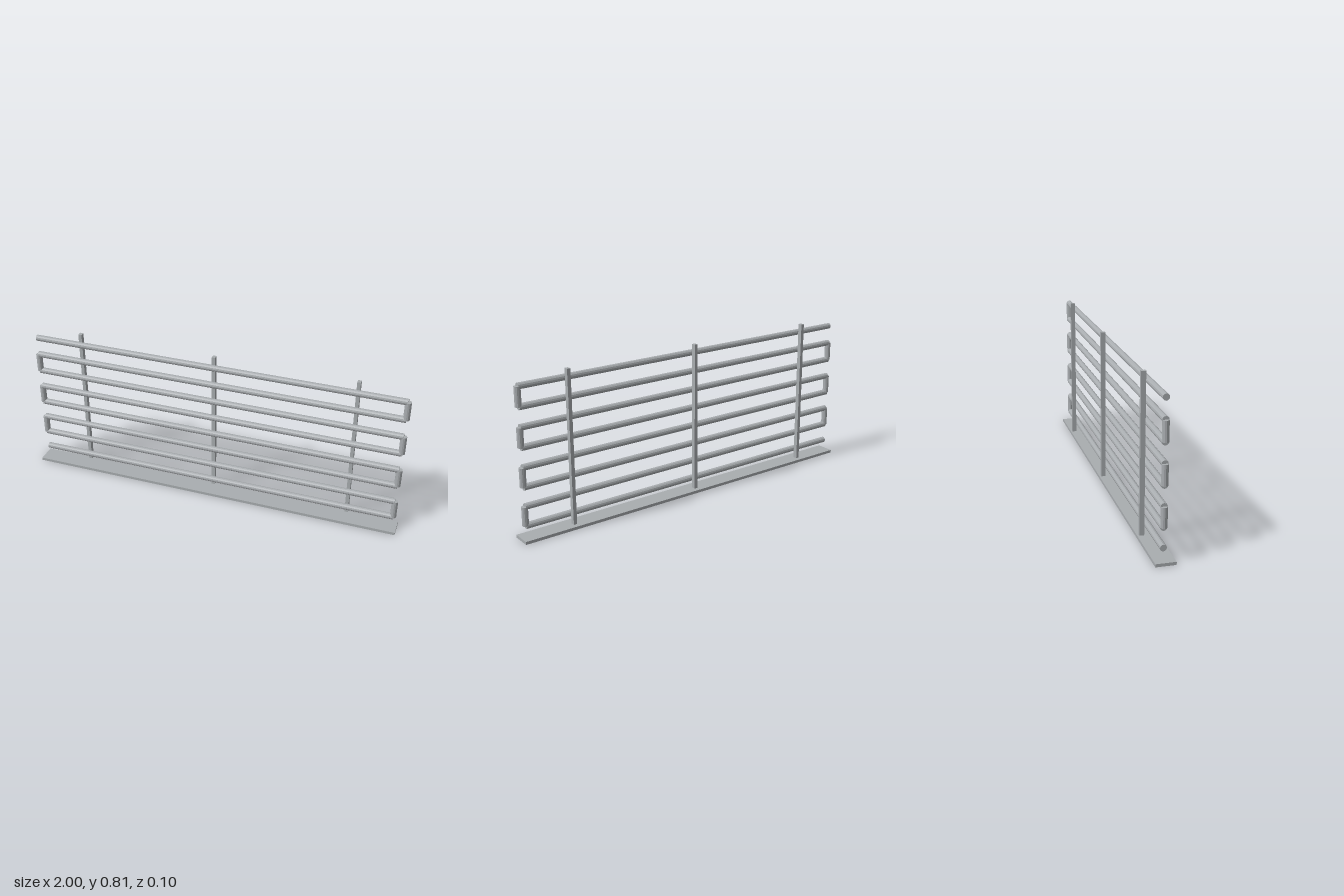
import * as THREE from 'three';

export function createModel() {
  const model = new THREE.Group();
  const steel = new THREE.MeshStandardMaterial({ color: 0xa9adb0, flatShading: true });
  steel.name = 'grey steel';

  function add(name, geometry, x, y, z) {
    const mesh = new THREE.Mesh(geometry, steel);
    mesh.name = name;
    mesh.position.set(x, y, z);
    model.add(mesh);
  }

  // Base strip
  add('base', new THREE.BoxGeometry(2, 0.015, 0.097), 0, 0.0075, 0);

  // Square posts behind the pipes
  for (const x of [-0.732, 0, 0.732]) {
    add('post', new THREE.BoxGeometry(0.018, 0.779, 0.023), x, 0.4175, -0.0345);
  }

  // Serpentine pipe: eight runs joined by uprights on alternating ends
  const runs = 8, bottom = 0.075, pitch = 0.0976, radius = 0.016;
  const endX = 0.975, pipeZ = -0.005;
  const runGeometry = new THREE.CylinderGeometry(radius, radius, endX * 2, 12).rotateZ(Math.PI / 2);
  const uprightGeometry = new THREE.CylinderGeometry(radius, radius, pitch, 12);
  for (let i = 0; i < runs; i++) {
    const y = bottom + i * pitch;
    add('pipeRun', runGeometry, 0, y, pipeZ);
    if (i < runs - 1) {
      add('pipeUpright', uprightGeometry, i % 2 ? -endX : endX, y + pitch / 2, pipeZ);
    }
  }
  return model;
}
